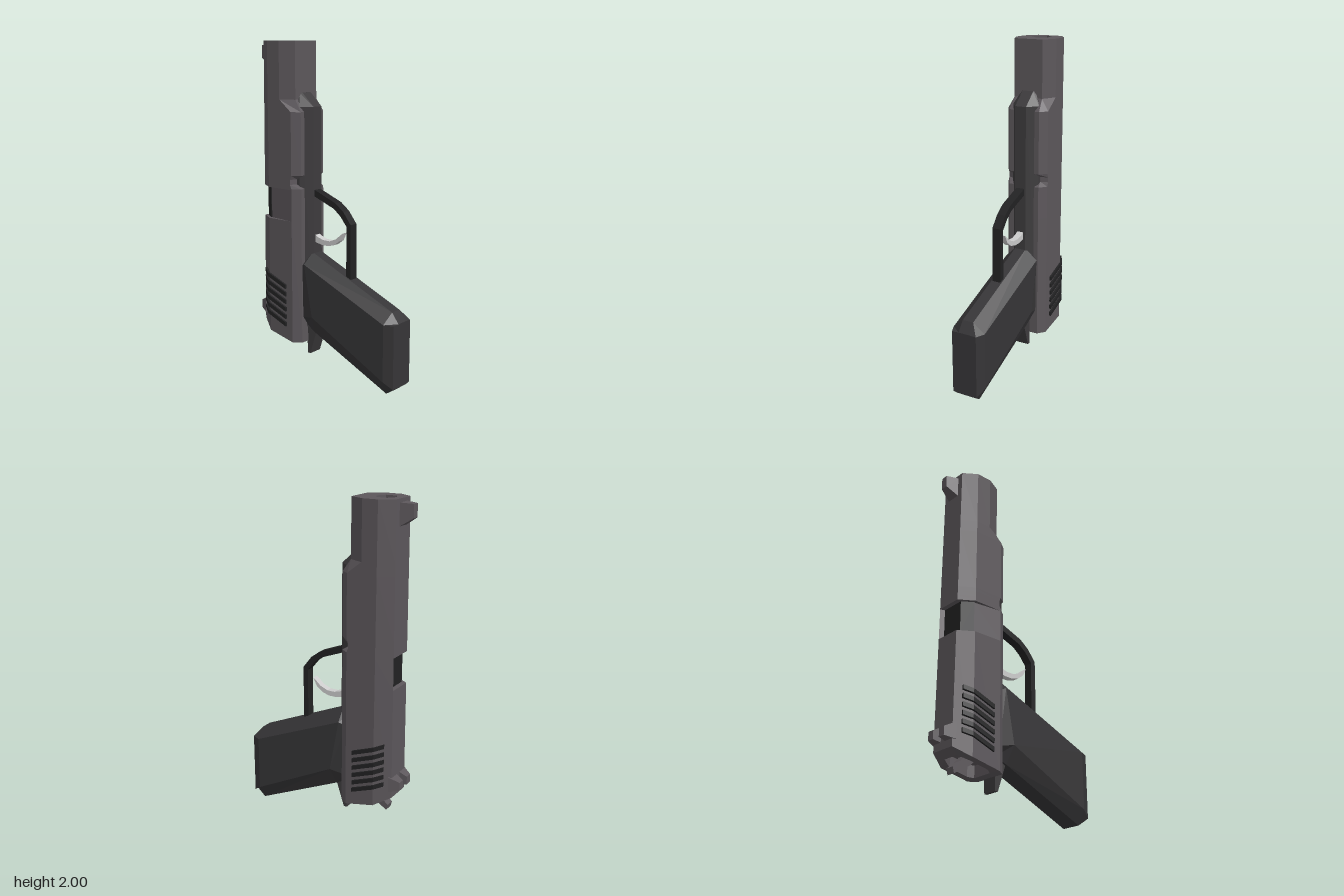
import * as THREE from 'three';

const mat = (color) => new THREE.MeshStandardMaterial({ color, flatShading: true, roughness: 0.9 });

// Skin a list of equal-length rings of [x, y, z] and cap both ends.
function loft(rings) {
  const tris = [];
  const n = rings[0].length;
  for (let r = 0; r < rings.length - 1; r++) {
    for (let i = 0; i < n; i++) {
      const j = (i + 1) % n;
      const [a, b, c, d] = [rings[r][i], rings[r][j], rings[r + 1][j], rings[r + 1][i]];
      tris.push([a, b, c], [a, c, d]);
    }
  }
  const cap = (ring, flip) => {
    const mid = [0, 1, 2].map((k) => ring.reduce((s, p) => s + p[k], 0) / n);
    ring.forEach((p, i) => {
      const q = ring[(i + 1) % n];
      tris.push(flip ? [mid, q, p] : [mid, p, q]);
    });
  };
  cap(rings[0], true);
  cap(rings[rings.length - 1], false);
  // turn the faces outward
  const V = (p) => new THREE.Vector3(...p);
  const volume = tris.reduce((s, [a, b, c]) => s + V(a).dot(V(b).cross(V(c))), 0);
  if (volume < 0) tris.forEach((t) => t.reverse());
  const geo = new THREE.BufferGeometry();
  geo.setAttribute('position', new THREE.Float32BufferAttribute(tris.flat(2), 3));
  geo.computeVertexNormals();
  return geo;
}

// Complete a half ring (x >= 0) with its mirror image; points on x = 0 stay single.
const mirrored = (half) => [
  ...half,
  ...half.filter((p) => p[0] > 0).reverse().map(([x, y, z]) => [-x, y, z]),
];

// Side outline of [z, y] points, extruded across x.
function profile(points, width) {
  const shape = new THREE.Shape(points.map(([z, y]) => new THREE.Vector2(z, y)));
  const geo = new THREE.ExtrudeGeometry(shape, { depth: width, bevelEnabled: false });
  return geo.rotateY(-Math.PI / 2).translate(width / 2, 0, 0);
}

// Plan outline of [x, z] points, raised from y0 to y1.
const prism = (points, y0, y1) => loft([y0, y1].map((y) => points.map(([x, z]) => [x, y, z])));

// Tapered block projecting backward; each end is [x0, x1, y0, y1, z].
const taper = (...ends) => loft(ends.map(([x0, x1, y0, y1, z]) =>
  [[x0, y0, z], [x1, y0, z], [x1, y1, z], [x0, y1, z]]));

function slideGeometry() {
  const section = (y, front) => {
    const back = -0.455 - (0.015 * (2 - y)) / 1.8;
    return mirrored([[0, front[0][1]], ...front, [0.135, -0.375], [0.08, back], [0.07, back], [0, back]]
      .map(([x, z]) => [x, y, z]));
  };
  const upper = [[0.093, -0.19], [0.135, -0.28]];
  const lower = [[0.1, -0.142], [0.135, -0.19]];
  const notch = [[0.09, -0.185], [0.135, -0.2]];
  const bore = (y) => mirrored([[0, -0.29], [0.053, -0.32], [0.053, -0.337], [0.053, -0.37],
    [0.053, -0.385], [0.01, -0.41], [0, -0.415]].map(([x, z]) => [x, y, z]));
  // port cut into the back face and one rear bevel
  const port = (y) => section(y, lower).map(([x, , z]) => {
    if (z < -0.4 && x < 0.075) return [x, y, z + 0.032];
    if (z < -0.3 && x < -0.1) return [-0.114, y, -0.37];
    return [x, y, z];
  });
  // sloped rear end with a hollow
  const endY = (z) => (z > -0.19 ? 0.18 : z > -0.38 ? 0.18 + (-0.19 - z) * 0.216 : 0.22 + (-0.375 - z) * 0.53);
  const end = section(0.2, lower).map(([x, , z]) => [x, endY(z), z]);
  const inset = (dy) => end.map(([x, , z]) => {
    const zi = -0.31 + (z + 0.31) * 0.65;
    return [x * 0.65, endY(zi) + dy, zi];
  });
  return loft([
    bore(1.85), bore(2), section(2, upper), section(1.66, upper), section(1.59, lower),
    section(1.215, lower), section(1.19, notch), section(1.16, notch), section(1.135, lower),
    section(1.21 - 0.08, lower), port(1.129), port(0.94), section(0.939, lower),
    end, inset(0), inset(0.07),
  ]);
}

function frameGeometry() {
  const ring = (y, w, z0, z1) => mirrored([[0.036, y, z0], [w, y, z1], [w, y, -0.27]]);
  return loft([ring(1.7, 0.045, -0.185, -0.2), ring(1.62, 0.088, -0.1, -0.165),
    ring(0.4, 0.088, -0.1, -0.165), ring(0.27, 0.07, -0.12, -0.165)]);
}

function gripGeometry() {
  return loft([
    mirrored([[0.035, 0.72, -0.16], [0.085, 0.66, -0.16], [0.085, 0.34, -0.15], [0.05, 0.29, -0.15]]),
    mirrored([[0.035, 0.745, -0.11], [0.105, 0.68, -0.12], [0.105, 0.36, -0.06], [0.06, 0.255, -0.08]]),
    mirrored([[0.035, 0.49, 0.485], [0.105, 0.43, 0.475], [0.105, 0.09, 0.475], [0.06, 0.005, 0.47]]),
    mirrored([[0.035, 0.43, 0.53], [0.08, 0.428, 0.53], [0.08, 0.05, 0.53], [0.05, 0.045, 0.53]]),
  ]);
}

export function createModel() {
  const model = new THREE.Group();
  model.name = 'pistol';
  const steel = mat(0x5c575b);
  const dark = mat(0x3d3b3d);
  const gripMat = mat(0x363537);
  const black = mat(0x222223);
  const light = mat(0xcccccc);
  const add = (name, geo, material) => {
    const mesh = new THREE.Mesh(geo, material);
    mesh.name = name;
    model.add(mesh);
    return mesh;
  };

  add('slide', slideGeometry(), steel);
  add('frame', frameGeometry(), dark);
  add('grip', gripGeometry(), gripMat);

  // dark chamber behind the ejection port
  add('chamber', prism([[0.069, -0.436], [-0.077, -0.436], [-0.12, -0.372], [0, -0.34]], 0.941, 1.128), black);

  // trigger guard loop and curved trigger
  add('triggerGuard', profile([[-0.12, 1.135], [0.06, 1.065], [0.12, 1.02], [0.175, 0.95], [0.178, 0.6],
    [0.143, 0.6], [0.145, 0.935], [0.1, 0.99], [0.05, 1.03], [-0.12, 1.095]], 0.054), black);
  add('trigger', profile([[0.11, 0.89], [0.085, 0.84], [0.045, 0.81], [0, 0.797], [-0.05, 0.797],
    [-0.12, 0.81], [-0.12, 0.865], [-0.08, 0.84], [-0.04, 0.828], [0.01, 0.828], [0.06, 0.848],
    [0.09, 0.875]], 0.04), light);

  // hammer and tang at the rear
  add('hammer', profile([[-0.27, 0.25], [-0.3, 0.215], [-0.41, 0.15], [-0.42, 0.185], [-0.37, 0.225], [-0.34, 0.26]], 0.055), steel);
  add('tang', profile([[-0.06, 0.29], [-0.075, 0.25], [-0.125, 0.1], [-0.145, 0.1], [-0.15, 0.29]], 0.09), dark);

  // sights
  add('frontSight', taper([-0.045, 0.045, 1.85, 1.98, -0.45], [-0.022, 0.022, 1.9, 1.975, -0.528]), steel);
  for (const s of [-1, 1]) {
    add('rearSight', taper([s * 0.015, s * 0.095, 0.31, 0.405, -0.455], [s * 0.025, s * 0.068, 0.325, 0.375, -0.515]), steel);
  }

  // slanted grip ridges wrapping the side and rear bevel
  for (const s of [-1, 1]) {
    for (let i = 0; i < 6; i++) {
      const y = 0.275 + i * 0.048;
      const ridge = [[0.12, -0.237], [0.147, -0.237], [0.147, -0.383], [0.117, -0.432], [0.09, -0.425]];
      add('ridge', loft([y, y + 0.025].map((h) =>
        ridge.map(([x, z]) => [s * x, h + (-0.237 - z) * 0.38, z]))), black);
    }
  }
  return model;
}
